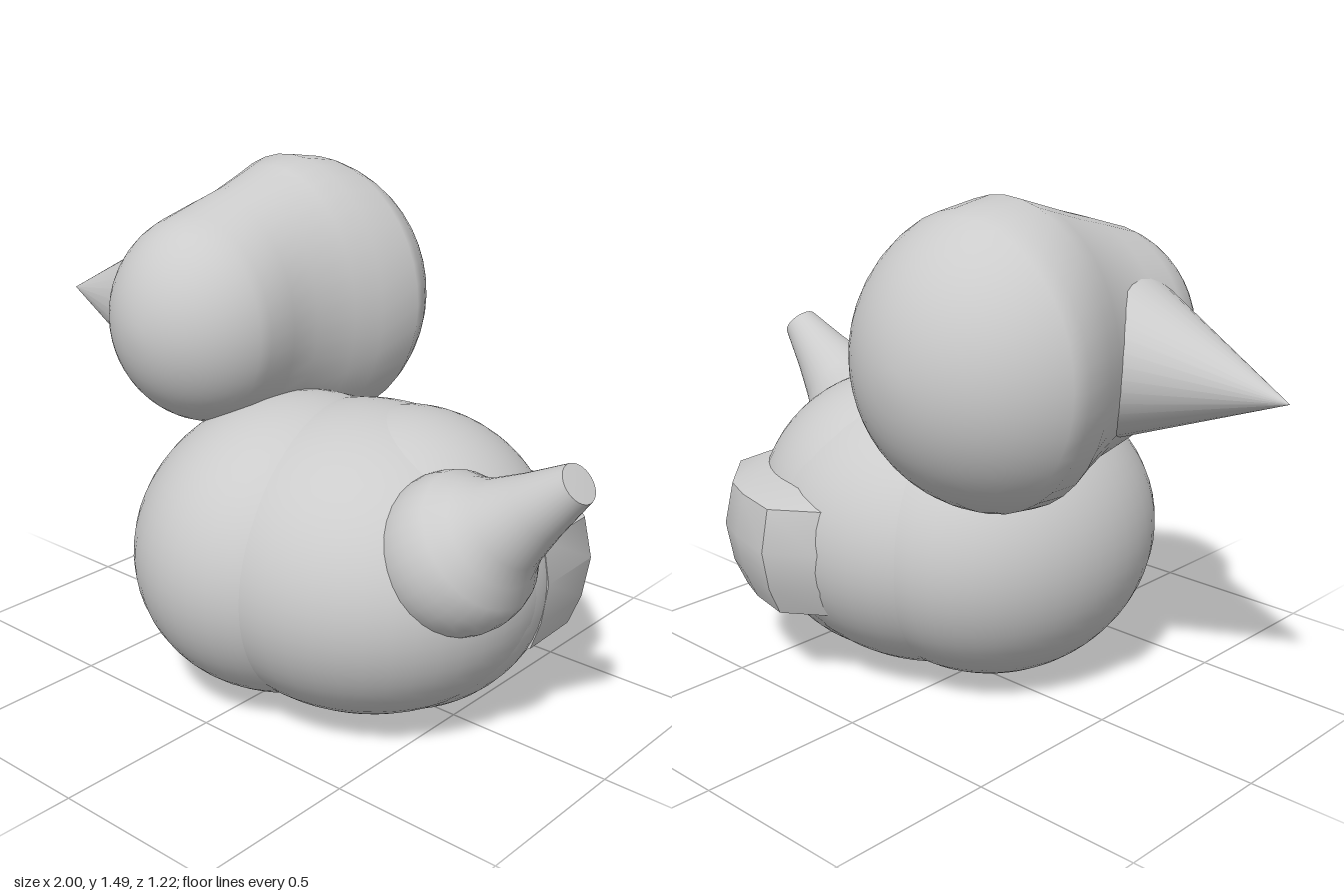
import * as THREE from 'three';
import { mergeVertices, toCreasedNormals } from 'three/addons/utils/BufferGeometryUtils.js';

const material = new THREE.MeshStandardMaterial({ color: 0xcccccc });

function addPart(group, name, geometry, position = [0, 0, 0]) {
  const mesh = new THREE.Mesh(geometry, material);
  mesh.name = name;
  mesh.position.set(...position);
  group.add(mesh);
  return mesh;
}

// Skin over closed rings that all have the same number of points
function loft(rings) {
  const n = rings[0].length;
  const index = [];
  for (let i = 0; i < rings.length - 1; i++) {
    for (let j = 0; j < n; j++) {
      const k = (j + 1) % n;
      const a = i * n + j, b = i * n + k, c = a + n, d = b + n;
      index.push(a, b, c, b, d, c);
    }
  }
  const geometry = new THREE.BufferGeometry();
  geometry.setAttribute('position', new THREE.Float32BufferAttribute(rings.flat(2), 3));
  geometry.setIndex(index);
  const merged = mergeVertices(geometry, 1e-5);
  merged.computeVertexNormals();
  return merged;
}

// Small face ball swept into a larger ball behind it
function headGeometry() {
  const sections = []; // z, half width, half height
  const steps = 12;
  for (let i = 0; i <= steps; i++) {
    const a = (i / steps) * 1.25;
    sections.push([-0.19 - 0.42 * Math.cos(a), 0.41 * Math.sin(a), 0.42 * Math.sin(a)]);
  }
  sections.push([-0.2, 0.355, 0.42], [-0.12, 0.32, 0.396], [0, 0.28, 0.36], [0.1, 0.285, 0.333]);
  for (let i = steps; i >= 0; i--) {
    const a = (i / steps) * 1.37;
    sections.push([0.14 + 0.3 * Math.cos(a), 0.295 * Math.sin(a), 0.31 * Math.sin(a)]);
  }
  return loft(sections.map(([z, w, h]) => Array.from({ length: 40 }, (_, j) => {
    const t = (j / 40) * Math.PI * 2;
    return [-0.3 + w * Math.cos(t), 1.07 + h * Math.sin(t), z];
  })));
}

// Rounded block: one plan outline scaled at each height
function wingGeometry() {
  const plan = [[0.73, -0.1], [0.72, -0.33], [0.57, -0.48], [0.46, -0.525],
    [0.3, -0.56], [0.17, -0.47], [0.08, -0.38], [0.12, 0]];
  const levels = [[0.2, 0], [0.21, 0.68], [0.245, 0.89], [0.33, 0.96],
    [0.45, 1], [0.575, 0.95], [0.61, 0.76], [0.61, 0]];
  const geometry = loft(levels.map(([y, s]) =>
    plan.map(([x, z]) => [0.35 + (x - 0.35) * s, y, z * s])));
  return toCreasedNormals(geometry, 0.75);
}

// Ball drawn out into a blunt, upturned tip
function tailGeometry() {
  const profile = [];
  for (let i = 0; i <= 14; i++) {
    const a = (i / 14) * 2.05;
    profile.push(new THREE.Vector2(0.22 * Math.sin(a), -0.22 * Math.cos(a)));
  }
  for (const [r, s] of [[0.155, 0.15], [0.125, 0.205], [0.09, 0.32], [0.055, 0.458], [0, 0.46]]) {
    profile.push(new THREE.Vector2(r, s));
  }
  return toCreasedNormals(new THREE.LatheGeometry(profile, 32), 0.7);
}

export function createModel() {
  const group = new THREE.Group();
  group.name = 'bird';

  // Body lobes: name, centre, radii
  const lobes = [
    ['chest', [-0.01, 0.437, 0.1], [0.44, 0.435, 0.505]],
    ['belly', [0.2, 0.438, 0.04], [0.54, 0.436, 0.51]],
    ['rump', [0.3, 0.44, -0.01], [0.435, 0.434, 0.435]],
  ];
  for (const [name, centre, radii] of lobes) {
    addPart(group, name, new THREE.SphereGeometry(1, 48, 32).scale(...radii), centre);
  }

  // Wing block on the far side
  addPart(group, 'wing', wingGeometry());

  // Tail
  const tail = addPart(group, 'tail', tailGeometry(), [0.61, 0.6, 0.165]);
  tail.quaternion.setFromUnitVectors(new THREE.Vector3(0, 1, 0),
    new THREE.Vector3(0.355, 0.29, 0).normalize());

  // Head and beak
  addPart(group, 'head', headGeometry());
  const beak = addPart(group, 'beak', new THREE.ConeGeometry(0.225, 0.5, 32), [-0.75, 1.035, 0.07]);
  beak.rotation.z = Math.PI / 2 + 0.06;

  return group;
}
